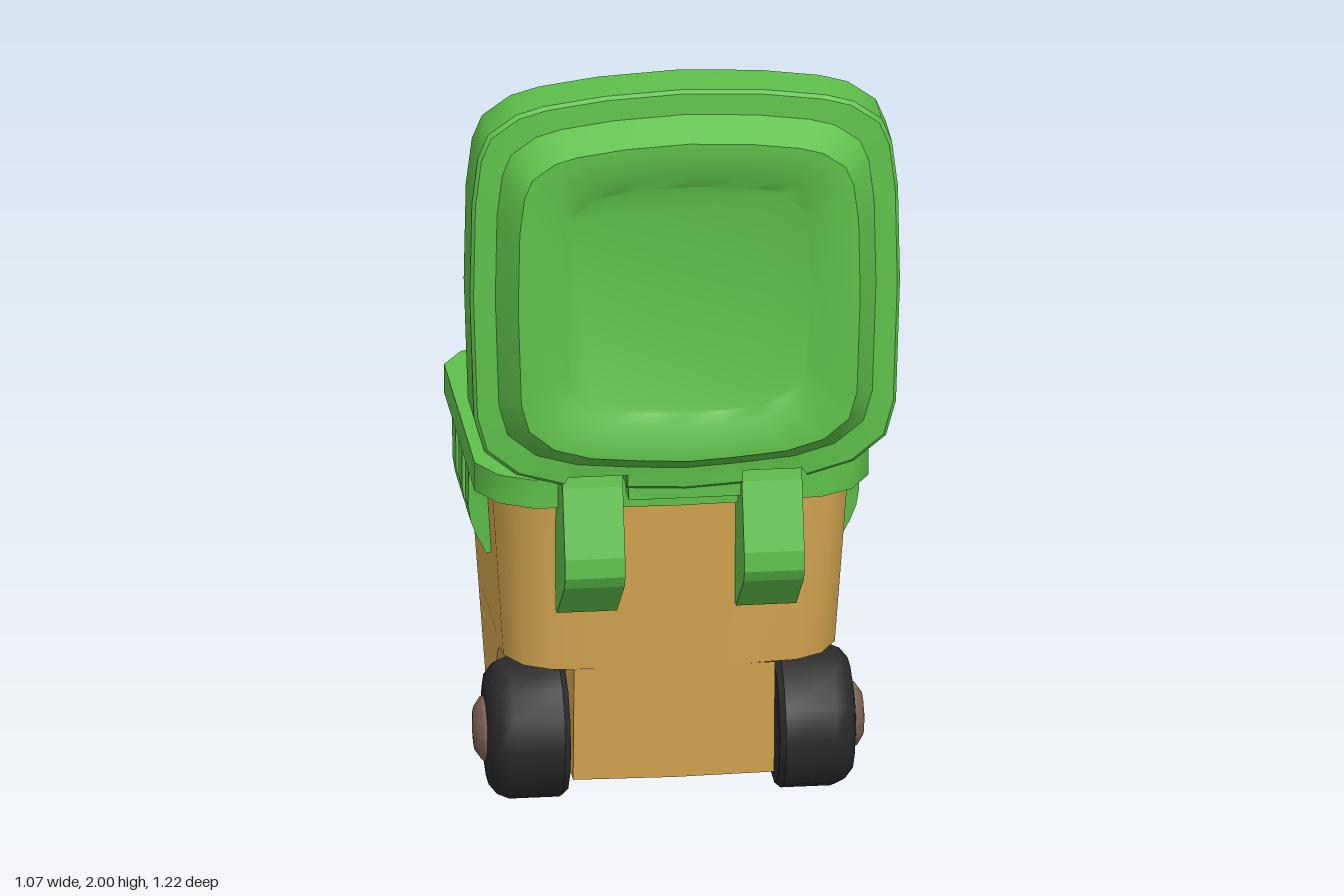
import * as THREE from 'three';
import { toCreasedNormals } from 'three/addons/utils/BufferGeometryUtils.js';

const mat = (name, color, side = THREE.FrontSide) => {
  const m = new THREE.MeshStandardMaterial({ color, side });
  m.name = name;
  return m;
};

// Mirrors a half outline (starting and ending on x = 0) into a closed loop
const mirror = (half) => half.concat(half.slice(1, -1).reverse().map(([x, y]) => [-x, y]));

// Skins a stack of closed outlines along z; each ring is { pts, z }
function loft(rings, capStart, capEnd) {
  const pos = [];
  const put = (r, i) => pos.push(r.pts[i][0], r.pts[i][1], r.z);
  for (let k = 0; k < rings.length - 1; k++) {
    const a = rings[k], b = rings[k + 1], n = a.pts.length;
    for (let i = 0; i < n; i++) {
      const j = (i + 1) % n;
      put(a, i); put(a, j); put(b, j);
      put(a, i); put(b, j); put(b, i);
    }
  }
  const cap = (r, flip) => {
    const tris = THREE.ShapeUtils.triangulateShape(r.pts.map(([x, y]) => new THREE.Vector2(x, y)), []);
    for (const [a, b, c] of tris) (flip ? [a, c, b] : [a, b, c]).forEach((i) => put(r, i));
  };
  if (capStart) cap(rings[0], true);
  if (capEnd) cap(rings[rings.length - 1], false);
  const g = new THREE.BufferGeometry();
  g.setAttribute('position', new THREE.Float32BufferAttribute(pos, 3));
  return toCreasedNormals(g, 0.65);
}

// Plan outline of the bin, half of it, seen from above with the back at +y
const MID_Z = -0.12;
const PLAN = [[0, -0.495], [0.2, -0.488], [0.36, -0.475], [0.44, -0.43], [0.49, -0.34],
  [0.49, 0.33], [0.44, 0.41], [0.355, 0.46], [0.2, 0.48], [0, 0.493]];
const scaled = (pts, s) => pts.map(([x, y]) => [x * s, y * s]);
const planRing = (s, z) => ({ pts: mirror(scaled(PLAN, s)), z });
const bodyScale = (y) => 0.8 + 0.105 * (y - 0.08) / 0.76;
const stand = (g) => g.rotateX(-Math.PI / 2).translate(0, 0, MID_Z);

// Lid outline, half of it, about the lid centre; the repeated points become hinge notches
const LID = [[0, -0.53], [0.145, -0.522], [0.145, -0.522], [0.305, -0.508], [0.305, -0.508],
  [0.42, -0.475], [0.5, -0.41], [0.525, -0.32], [0.535, 0], [0.53, 0.25], [0.515, 0.37],
  [0.49, 0.43], [0.42, 0.48], [0.35, 0.5], [0.2, 0.52], [0, 0.53]];
const lidRing = (s, z) => {
  const half = scaled(LID, s);
  if (s > 0.95) half[2][1] = half[3][1] = -0.485;
  return { pts: mirror(half), z };
};

const extrude = (pts, depth) => new THREE.ExtrudeGeometry(
  new THREE.Shape(pts.map(([x, y]) => new THREE.Vector2(x, y))), { depth, bevelEnabled: false });

export function createModel() {
  const green = mat('green', 0x5ec04a);
  const tan = mat('tan', 0xd4a650);
  const olive = mat('inner olive', 0x97b861);
  const black = mat('tyre black', 0x2b2b2b);
  const brown = mat('hub brown', 0x7d6357);
  const label = mat('label green', 0x46a03c, THREE.DoubleSide);

  const model = new THREE.Group();
  model.name = 'wheeledBin';
  const add = (name, geometry, material, parent = model) => {
    const m = new THREE.Mesh(geometry, material);
    m.name = name;
    parent.add(m);
    return m;
  };

  // Upper body
  add('upperBody', stand(loft([planRing(bodyScale(0.38), 0.38), planRing(bodyScale(0.84), 0.84)], true, false)), tan);

  // Lower body, with rounded wheel wells cut into the front corners
  const lower = [];
  for (let i = 0; i <= 10; i++) {
    const t = (i / 10) * Math.PI / 2;
    const y = 0.08 + 0.3 * Math.sin(t), s = bodyScale(y);
    const well = -(0.165 - 0.275 * Math.cos(t) - MID_Z);
    const half = [[0, -0.495 * s], [0.25, -0.484 * s], [0.25, well], [0.49 * s, well], ...scaled(PLAN.slice(5), s)];
    lower.push({ pts: mirror(half), z: y });
  }
  add('lowerBody', stand(loft(lower, true, false)), tan);

  // Inside walls and floor
  add('interior', stand(loft([planRing(0.812, 0.85), planRing(0.75, 0.4)], false, true)), olive);

  // Rim
  add('rim', stand(loft([planRing(0.812, 0.84), planRing(1, 0.84), planRing(1, 0.915),
    planRing(0.812, 0.915), planRing(0.812, 0.84)], false, false)), green);

  // Open lid: hollow inside, stepped raised panel with a shallow recess outside
  const lid = [[0.9, 0.48], [0.9, 0.38], [1, 0.38], [1, 0.515], [0.985, 0.525], [0.885, 0.53],
    [0.795, 0.61], [0.62, 0.61], [0.57, 0.59]].map(([s, z]) => lidRing(s, z));
  add('lid', loft(lid, true, true).translate(0, 1.47, 0), green);
  add('lidTab', new THREE.BoxGeometry(0.28, 0.05, 0.065).translate(0, 0.94, 0.483), green);

  // Hinges
  const hingeProfile = [[0.3, 0.55], [0.33, 0.55], [0.5, 0.68], [0.515, 0.71], [0.512, 0.76], [0.46, 0.93],
    [0.45, 0.98], [0.42, 0.98], [0.37, 0.935], [0.3, 0.9]];
  for (const side of [-1, 1]) {
    add(side > 0 ? 'leftHinge' : 'rightHinge',
      extrude(hingeProfile, 0.15).rotateY(-Math.PI / 2).translate(side * 0.223 + 0.075, 0, 0), green);
  }

  // Side handles: a lower ledge and three bars, narrowing downward
  const ledge = [[0.4, 0.6], [0.44, 0.6], [0.465, 0.65], [0.48, 0.69], [0.4, 0.69]];
  const barProfile = (inner) => [[inner, 0.69], [0.48, 0.69], [0.486, 0.73], [0.486, 0.845], [inner, 0.845]];
  const pieces = [['handleLedge', ledge, -0.31, 0.055], ['handleFrontBar', barProfile(0.42), -0.02, 0.055],
    ['handleMiddleBar', barProfile(0.462), -0.165, -0.09], ['handleBackBar', barProfile(0.42), -0.31, -0.23]];
  for (const side of [-1, 1]) {
    const handle = new THREE.Group();
    handle.name = side > 0 ? 'leftHandle' : 'rightHandle';
    model.add(handle);
    for (const [name, profile, z0, z1] of pieces) {
      const g = extrude(profile.map(([x, y]) => [x * side, y]), z1 - z0).translate(0, 0, z0);
      const p = g.attributes.position;
      for (let i = 0; i < p.count; i++) {
        const k = 0.88 + 0.12 * (p.getY(i) - 0.6) / 0.24;
        p.setZ(i, -0.127 + (p.getZ(i) + 0.127) * k);
      }
      g.computeVertexNormals();
      add(name, g, green, handle);
    }
  }

  // Wheels with domed hubs
  const lathe = (pts, n) => toCreasedNormals(
    new THREE.LatheGeometry(pts.map(([r, h]) => new THREE.Vector2(r, h)), n), 0.7);
  const tyre = [[0, 0.26], [0.165, 0.26], [0.178, 0.275], [0.178, 0.4], [0.165, 0.43], [0.14, 0.45], [0.085, 0.458], [0, 0.458]];
  const hub = [[0.085, 0.45], [0.08, 0.465], [0.055, 0.482], [0, 0.488]];
  for (const side of [-1, 1]) {
    const wheel = new THREE.Group();
    wheel.name = side > 0 ? 'leftWheel' : 'rightWheel';
    wheel.position.set(0, 0.178, 0.145);
    wheel.rotation.z = -side * Math.PI / 2;
    model.add(wheel);
    add('tyre', lathe(tyre, 14), black, wheel);
    add('hub', lathe(hub, 12), brown, wheel);
  }

  // Plain label panel wrapped onto the back wall
  const panel = new THREE.PlaneGeometry(0.46, 0.49, 16, 1).rotateY(Math.PI);
  const p = panel.attributes.position;
  for (let i = 0; i < p.count; i++) {
    const x = p.getX(i), edge = Math.max(0, Math.abs(x) - 0.17) / 0.06;
    const y = 0.465 + p.getY(i) - Math.sign(p.getY(i)) * 0.05 * edge * edge;
    const s = bodyScale(y), u = Math.abs(x) / s;
    const depth = u < 0.2 ? 0.493 - 0.065 * u : 0.48 - 0.129 * (u - 0.2);
    p.setXYZ(i, x, y, MID_Z - depth * s - 0.006);
  }
  panel.computeVertexNormals();
  add('backLabel', panel, label);

  return model;
}
